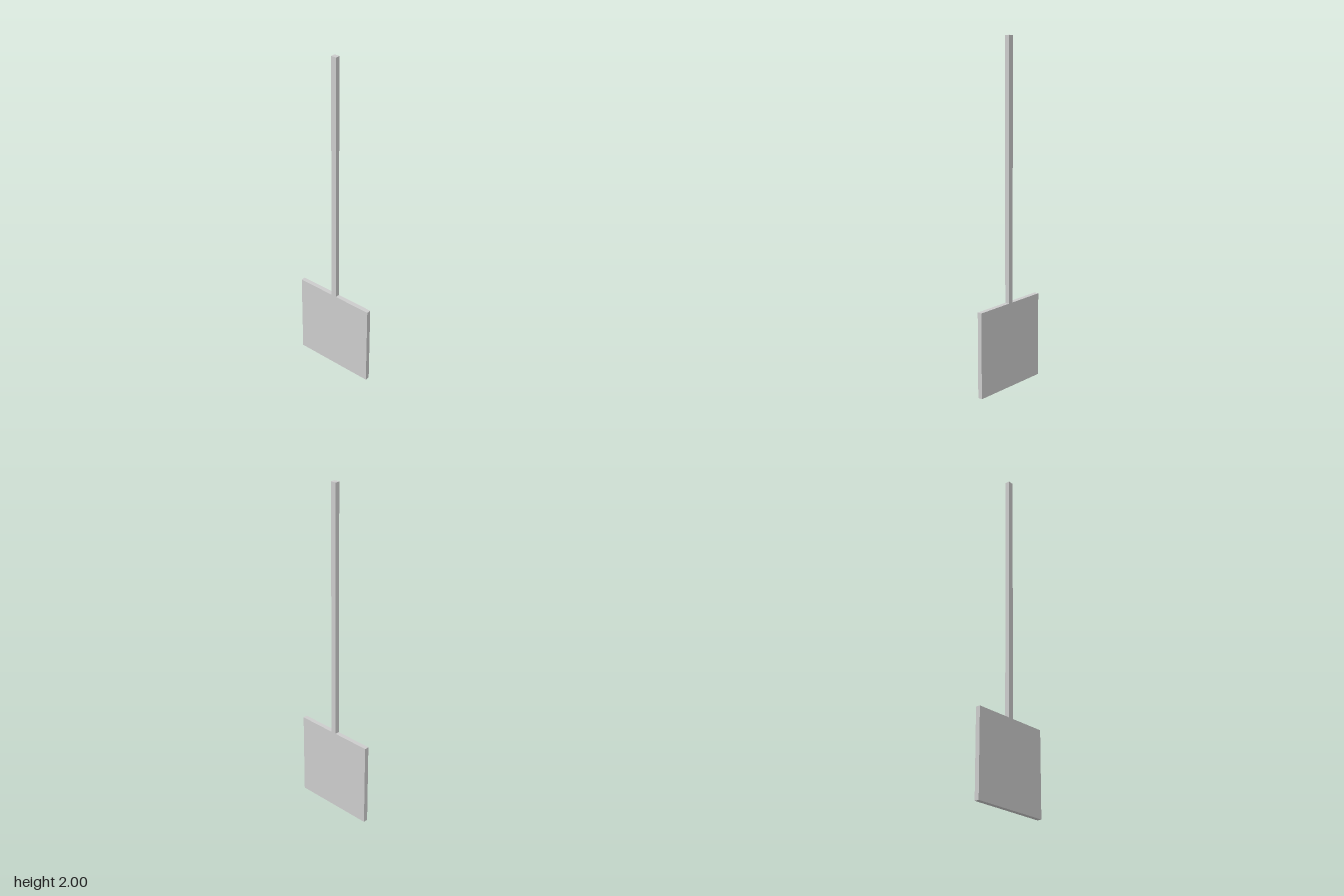
import * as THREE from 'three';

const DEPTH = 0.027;
const BLADE = 0.502;

export function createModel() {
  const model = new THREE.Group();
  const material = new THREE.MeshStandardMaterial({ color: 0xcccccc, flatShading: true });

  // Box spanning y0..y1, centred on x and z
  const addBox = (name, width, y0, y1) => {
    const mesh = new THREE.Mesh(new THREE.BoxGeometry(width, y1 - y0, DEPTH), material);
    mesh.name = name;
    mesh.position.y = (y0 + y1) / 2;
    model.add(mesh);
  };

  // Square flat blade at the bottom
  addBox('blade', BLADE, 0, BLADE);
  // Long straight handle, flush with the blade faces
  addBox('handle', 0.033, BLADE, 2);

  return model;
}
